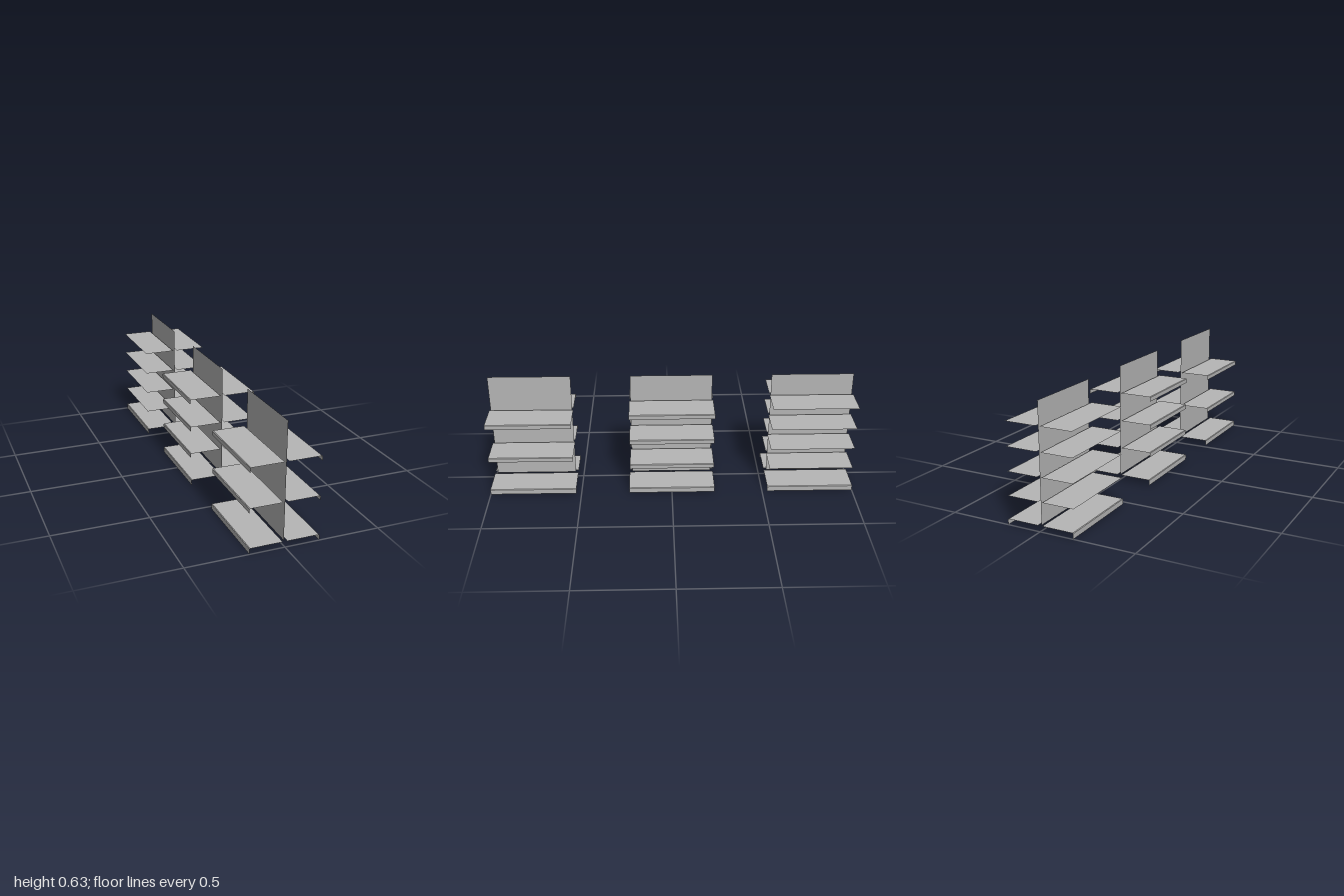
import * as THREE from 'three';

const metal = new THREE.MeshStandardMaterial({ color: 0xb6b6b6, side: THREE.DoubleSide });
metal.name = 'grey metal';

const INNER = 0.012, OUTER = 0.18, BEVEL = 0.003;

// Thin folded sheet: a cross-section of [x, y] points swept along z
function sheet(name, profile, length) {
  const positions = [];
  for (let i = 0; i < profile.length - 1; i++) {
    const [ax, ay] = profile[i], [bx, by] = profile[i + 1], h = length / 2;
    positions.push(ax, ay, h, bx, by, h, bx, by, -h, ax, ay, h, bx, by, -h, ax, ay, -h);
  }
  const geometry = new THREE.BufferGeometry();
  geometry.setAttribute('position', new THREE.Float32BufferAttribute(positions, 3));
  geometry.computeVertexNormals();
  const mesh = new THREE.Mesh(geometry, metal);
  mesh.name = name;
  return mesh;
}

// Matching shelves either side of the panel, with an optional folded outer lip
function shelfPair(name, y, length, lip) {
  const pair = new THREE.Group();
  pair.name = name;
  const profile = lip
    ? [[INNER, 0], [OUTER - BEVEL, 0], [OUTER, -BEVEL], [OUTER, -lip]]
    : [[INNER, 0], [OUTER, 0]];
  for (const side of [1, -1]) {
    // The left profile is reversed so that both sheets face up and outward
    const points = profile.map(([x, py]) => [x * side, py]);
    if (side < 0) points.reverse();
    const shelf = sheet(side > 0 ? 'leftShelf' : 'rightShelf', points, length);
    shelf.position.y = y;
    pair.add(shelf);
  }
  return pair;
}

// One free-standing unit: upright panel, base shelves and upper shelves
function shelvingUnit(name, z, heights, lip) {
  const unit = new THREE.Group();
  unit.name = name;
  unit.position.z = z;
  unit.add(sheet('uprightPanel', [[0, 0.63], [0, 0.028]], 0.444));
  unit.add(shelfPair('baseShelves', 0.03, 0.472, 0.03));
  heights.forEach((y, i) => unit.add(shelfPair(`upperShelves${i + 1}`, y, 0.457, lip)));
  return unit;
}

export function createModel() {
  const model = new THREE.Group();
  model.name = 'shelvingRow';
  model.add(shelvingUnit('frontUnit', 0.764, [0.231, 0.434], 0.025));
  model.add(shelvingUnit('middleUnit', 0, [0.181, 0.333, 0.485], 0.025));
  model.add(shelvingUnit('backUnit', -0.764, [0.144, 0.266, 0.388, 0.511], 0));
  return model;
}
